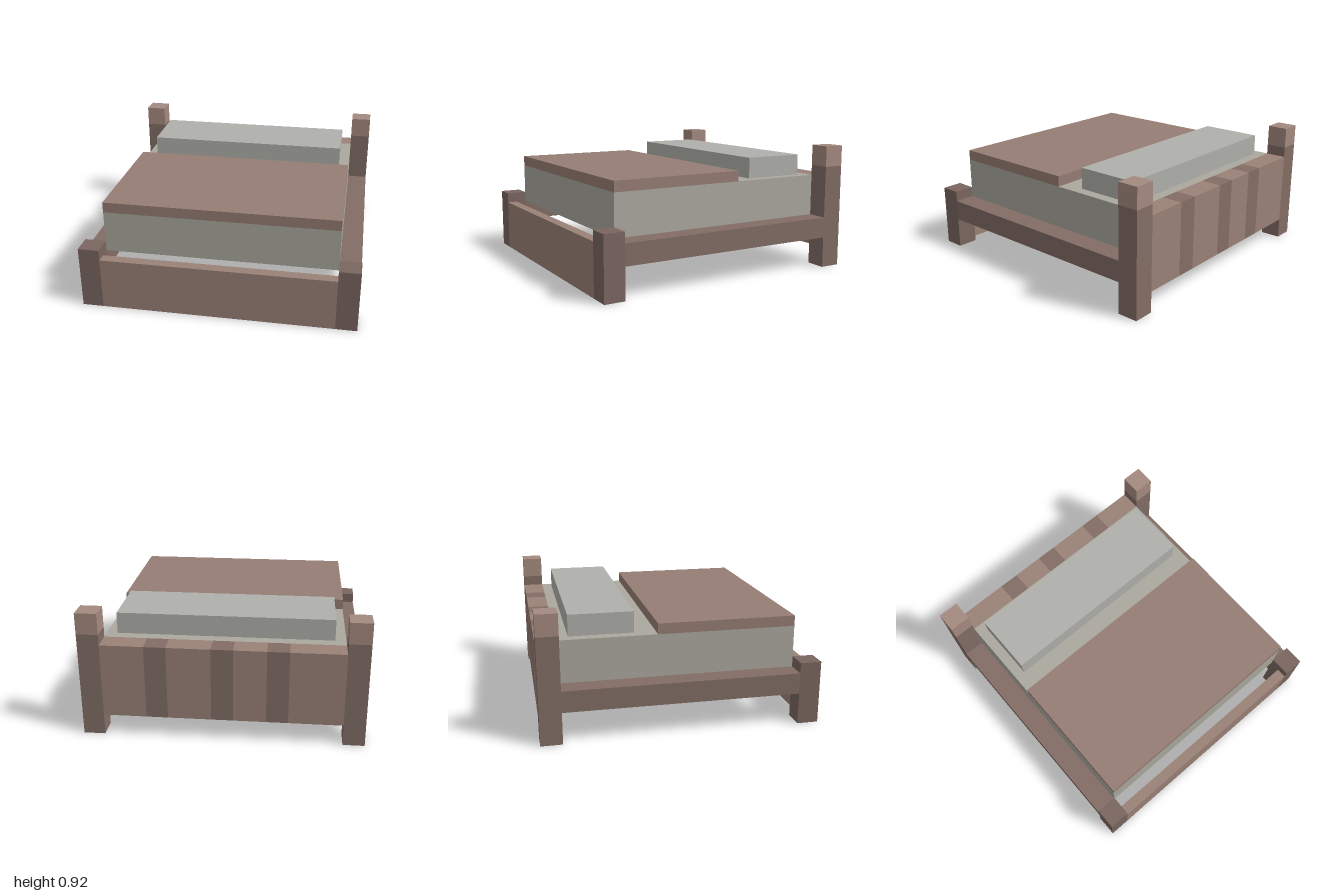
import * as THREE from 'three';

const U = 1 / 13; // the bed sits on a 26 x 26 unit grid

const paint = (color) => new THREE.MeshStandardMaterial({ color, flatShading: true });
const wood = paint(0x9a8177);
const darkWood = paint(0x826d65);
const footWood = paint(0x7a665f);
const capWood = paint(0xa58a80);
const quiltCloth = paint(0x967d74);
const mattressCloth = paint(0xaaa89e);
const pillowCloth = paint(0xafafab);

// Box given by its grid limits on each axis
function block(name, [x0, x1], [y0, y1], [z0, z1], material) {
  const geometry = new THREE.BoxGeometry((x1 - x0) * U, (y1 - y0) * U, (z1 - z0) * U);
  const mesh = new THREE.Mesh(geometry, material);
  mesh.position.set((x0 + x1) / 2 * U, (y0 + y1) / 2 * U, (z0 + z1) / 2 * U);
  mesh.name = name;
  return mesh;
}

export function createModel() {
  const bed = new THREE.Group();
  bed.name = 'bed';

  // Posts and side rails, mirrored left and right
  for (const [side, x] of [['left', [11, 13]], ['right', [-13, -11]]]) {
    bed.add(
      block(side + 'HeadPost', x, [0, 10], [-13, -11], darkWood),
      block(side + 'HeadPostCap', x, [10, 12], [-13, -11], capWood),
      block(side + 'FootPost', x, [0, 6], [11, 13], footWood),
      block(side + 'Rail', x, [3, 5], [-11, 11], darkWood),
    );
  }

  // Headboard of alternating light and dark planks
  const headboard = new THREE.Group();
  headboard.name = 'headboard';
  const seams = [-11, -6, -4, -1, 1, 5, 7, 11];
  for (let i = 0; i < seams.length - 1; i++) {
    headboard.add(block('headboardPlank' + (i + 1), [seams[i], seams[i + 1]], [2, 9], [-13, -11],
      i % 2 ? darkWood : wood));
  }
  bed.add(headboard);

  // Footboard, flush with the front of the posts
  bed.add(block('footboard', [-11, 11], [0, 5], [12, 13], wood));

  // Bedding
  bed.add(
    block('mattress', [-11, 11], [5, 9], [-11, 11], mattressCloth),
    block('quilt', [-11, 11], [9, 10], [-2, 11], quiltCloth),
    block('pillow', [-10, 10], [9, 11], [-10, -4], pillowCloth),
  );
  return bed;
}
